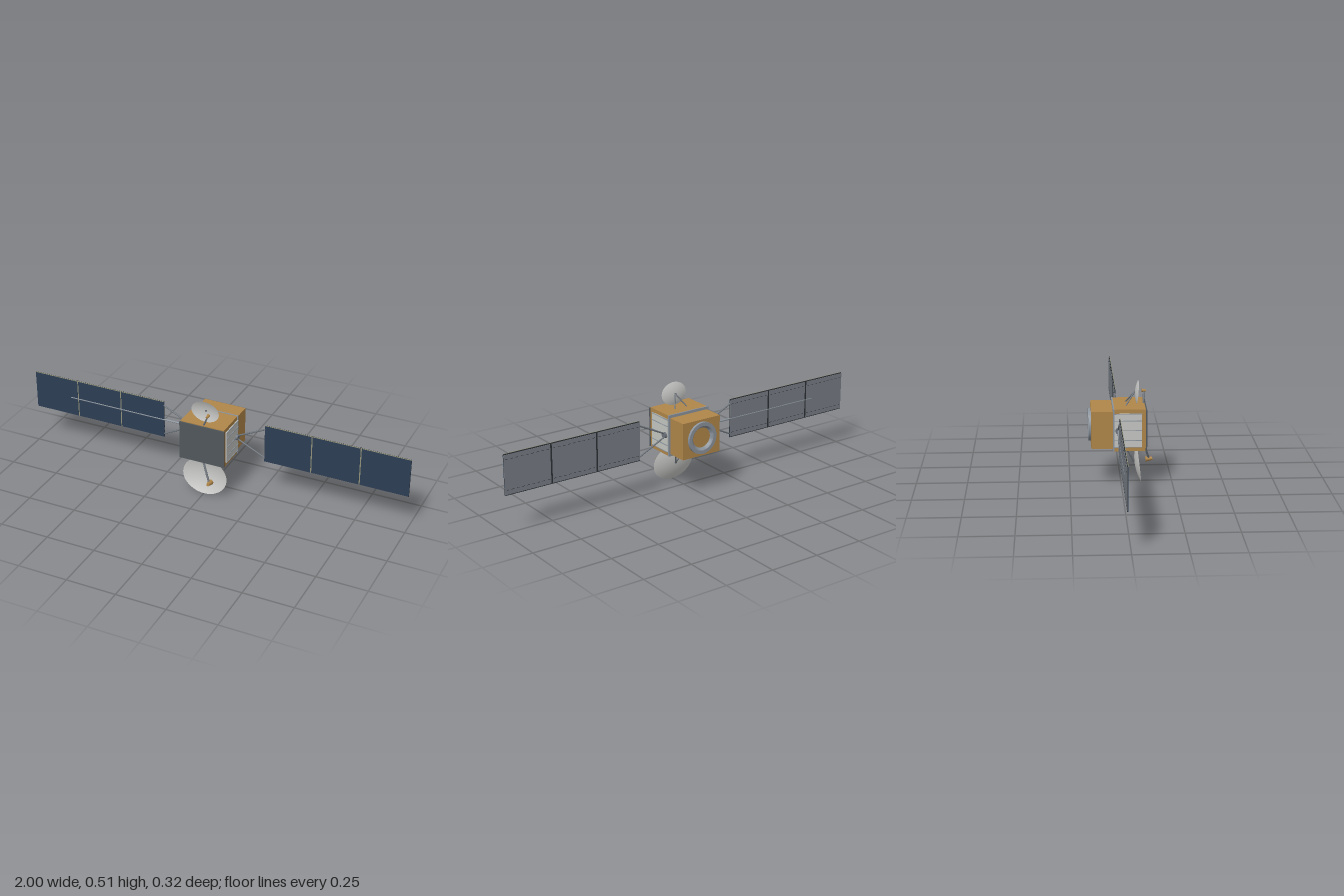
import * as THREE from 'three';
import { toCreasedNormals } from 'three/addons/utils/BufferGeometryUtils.js';

const mat = (name, color, side = THREE.FrontSide) => {
  const m = new THREE.MeshStandardMaterial({ color, side });
  m.name = name;
  return m;
};

export function createModel() {
  const gold = mat('gold foil', 0xb08649);
  const navy = mat('solar cell navy', 0x2c3d54);
  const backGrey = mat('panel back grey', 0x777d85);
  const slate = mat('slate plate', 0x50575b);
  const white = mat('radiator white', 0xc4c6c2);
  const dishGrey = mat('dish grey', 0xc6c6c4, THREE.DoubleSide);
  const metal = mat('metal grey', 0x6c737a);
  const trim = mat('light steel', 0x8b939c);
  const tan = mat('hinge tan', 0x8f8f78);
  const dark = mat('dark edge', 0x2b3034);

  const model = new THREE.Group();
  model.name = 'satellite';
  const V = (x, y, z) => new THREE.Vector3(x, y, z);
  const CY = 0.297, PZ = -0.017;

  function add(name, geo, material, parent = model) {
    const mesh = new THREE.Mesh(geo, material);
    mesh.name = name;
    parent.add(mesh);
    return mesh;
  }
  // box given by its limits on each axis
  function box(name, x0, x1, y0, y1, z0, z1, material, parent) {
    const g = new THREE.BoxGeometry(Math.abs(x1 - x0), y1 - y0, z1 - z0);
    g.translate((x0 + x1) / 2, (y0 + y1) / 2, (z0 + z1) / 2);
    return add(name, g, material, parent);
  }
  // round bar from a to b, r0 at a and r1 at b
  function bar(name, a, b, r0, r1, material, parent, sides = 10) {
    const d = b.clone().sub(a);
    const m = add(name, new THREE.CylinderGeometry(r1, r0, d.length(), sides), material, parent);
    m.position.copy(a).addScaledVector(d, 0.5);
    m.quaternion.setFromUnitVectors(V(0, 1, 0), d.normalize());
    return m;
  }

  // Body
  box('mainBody', -0.115, 0.115, 0.193, 0.4, -0.04, 0.115, gold);
  box('frontPlate', -0.118, 0.118, 0.197, 0.396, 0.115, 0.122, slate);
  box('rearFlange', -0.118, 0.118, 0.192, 0.402, -0.043, -0.036, trim);
  box('rearBody', -0.109, 0.109, 0.204, 0.388, -0.146, -0.04, gold);

  // Adapter ring on the rear
  const ringProfile = [[0.05, 0], [0.056, 0.008], [0.062, 0.013], [0.08, 0.013], [0.08, 0]]
    .map(([r, h]) => new THREE.Vector2(r, h)).reverse();
  const ringGeo = new THREE.LatheGeometry(ringProfile.reverse(), 40);
  // profile runs inner to outer, so reverse the faces to look outward
  const idx = ringGeo.index.array;
  const probe = new THREE.Vector3(), pa = V(0, 0, 0), pb = V(0, 0, 0), pc = V(0, 0, 0);
  const tri = 2 * 6; // a face on the flat top of the rim
  [pa, pb, pc].forEach((p, i) => p.fromBufferAttribute(ringGeo.attributes.position, idx[tri + i]));
  new THREE.Triangle(pa, pb, pc).getNormal(probe);
  if (probe.y < 0) {
    for (let i = 0; i < idx.length; i += 3) [idx[i], idx[i + 1]] = [idx[i + 1], idx[i]];
  }
  ringGeo.rotateX(-Math.PI / 2);
  add('adapterRing', toCreasedNormals(ringGeo, 0.5), trim).position.set(0, CY, -0.146);

  // Solar wings with radiators on both sides
  for (const s of [1, -1]) {
    const side = s > 0 ? 'left' : 'right';
    const wing = new THREE.Group();
    wing.name = side + 'Wing';
    model.add(wing);

    box(side + 'Radiator', s * 0.115, s * 0.12, 0.213, 0.38, -0.036, 0.097, white, wing);
    for (const y of [0.214, 0.248, 0.297, 0.345, 0.379])
      box('heatPipe', s * 0.119, s * 0.123, y - 0.0015, y + 0.0015, -0.036, 0.097, trim, wing);

    bar('wingHub', V(s * 0.115, CY, PZ), V(s * 0.132, CY, PZ), 0.015, 0.015, metal, wing, 8);
    for (const t of [1, -1])
      bar('yokeStrut', V(s * 0.125, CY + t * 0.008, PZ), V(s * 0.273, CY + t * 0.08, PZ),
        0.004, 0.004, metal, wing);

    const edges = [0.27, 0.511, 0.756, 1];
    for (let i = 0; i < 3; i++) {
      const a = s * (edges[i] + (i ? 0.003 : 0)), b = s * (edges[i + 1] - (i < 2 ? 0.003 : 0));
      box('panelCore', a, b, 0.199, 0.399, PZ - 0.002, PZ + 0.002, dark, wing);
      box('solarCells', a, b, 0.2, 0.397, PZ + 0.001, PZ + 0.0035, navy, wing);
      box('panelBack', a, b, 0.203, 0.395, PZ - 0.0035, PZ - 0.001, backGrey, wing);
      box('topEdge', a, b, 0.397, 0.4, PZ + 0.001, PZ + 0.0035, tan, wing);
      // dashed seams on the back
      for (let k = 0; k < 9; k++) {
        const x0 = a + (b - a) * (k + 0.25) / 9, x1 = a + (b - a) * (k + 0.75) / 9;
        for (const y of [0.225, 0.373])
          box('backSeam', x0, x1, y - 0.001, y + 0.001, PZ - 0.004, PZ - 0.003, dark, wing);
      }
      // hinges between panels
      if (i) {
        const x = s * edges[i];
        box('hingeFront', x - 0.003, x + 0.003, 0.2, 0.399, PZ, PZ + 0.0025, tan, wing);
        box('hingeBack', x - 0.004, x + 0.004, 0.2, 0.399, PZ - 0.004, PZ, dark, wing);
      }
    }
  }
  // Boom along the right wing
  bar('wingBoom', V(-0.12, CY, PZ), V(-0.8, CY, PZ), 0.0048, 0.0048, trim);

  // Dish antennas: elliptical bowls opening forward
  function antenna(name, y, z, rx, ry, depth, tilt, mountY, mountZ) {
    const g = new THREE.Group();
    g.name = name;
    model.add(g);
    const pts = [];
    for (let i = 0; i <= 10; i++) pts.push(new THREE.Vector2(i / 10, (i / 10) ** 2));
    const geo = new THREE.LatheGeometry(pts, 48);
    geo.scale(rx, depth, ry);
    geo.rotateX(Math.PI / 2);
    geo.computeVertexNormals();
    const bowl = add('dishBowl', geo, dishGrey, g);
    bowl.position.set(0, y, z);
    bowl.rotation.x = tilt;
    bar('dishBoss', V(0, y, z - 0.004), V(0, y, z + 0.003), 0.005, 0.005, metal, g);
    for (const s of [1, -1])
      bar('dishStrut', V(0, y, z - 0.002), V(s * 0.036, mountY, mountZ), 0.0035, 0.0035, metal, g);
    return g;
  }
  const upper = antenna('upperAntenna', 0.458, 0.069, 0.072, 0.057, 0.012, 0.09, 0.398, 0.023);
  const lower = antenna('lowerAntenna', 0.099, 0.068, 0.117, 0.095, 0.02, -0.11, 0.196, 0.019);

  // Feed horns on arms, wide end towards the dish
  bar('feedArm', V(0.004, 0.396, 0.109), V(0.029, 0.455, 0.113), 0.004, 0.004, metal, upper);
  bar('feedHorn', V(0.029, 0.4565, 0.103), V(0.029, 0.455, 0.124), 0.008, 0.0055, gold, upper, 20);
  bar('feedArm', V(0.004, 0.2, 0.112), V(0.048, 0.106, 0.14), 0.005, 0.005, metal, lower);
  bar('feedHorn', V(0.05, 0.1005, 0.124), V(0.05, 0.1035, 0.158), 0.0135, 0.008, gold, lower, 20);

  return model;
}
